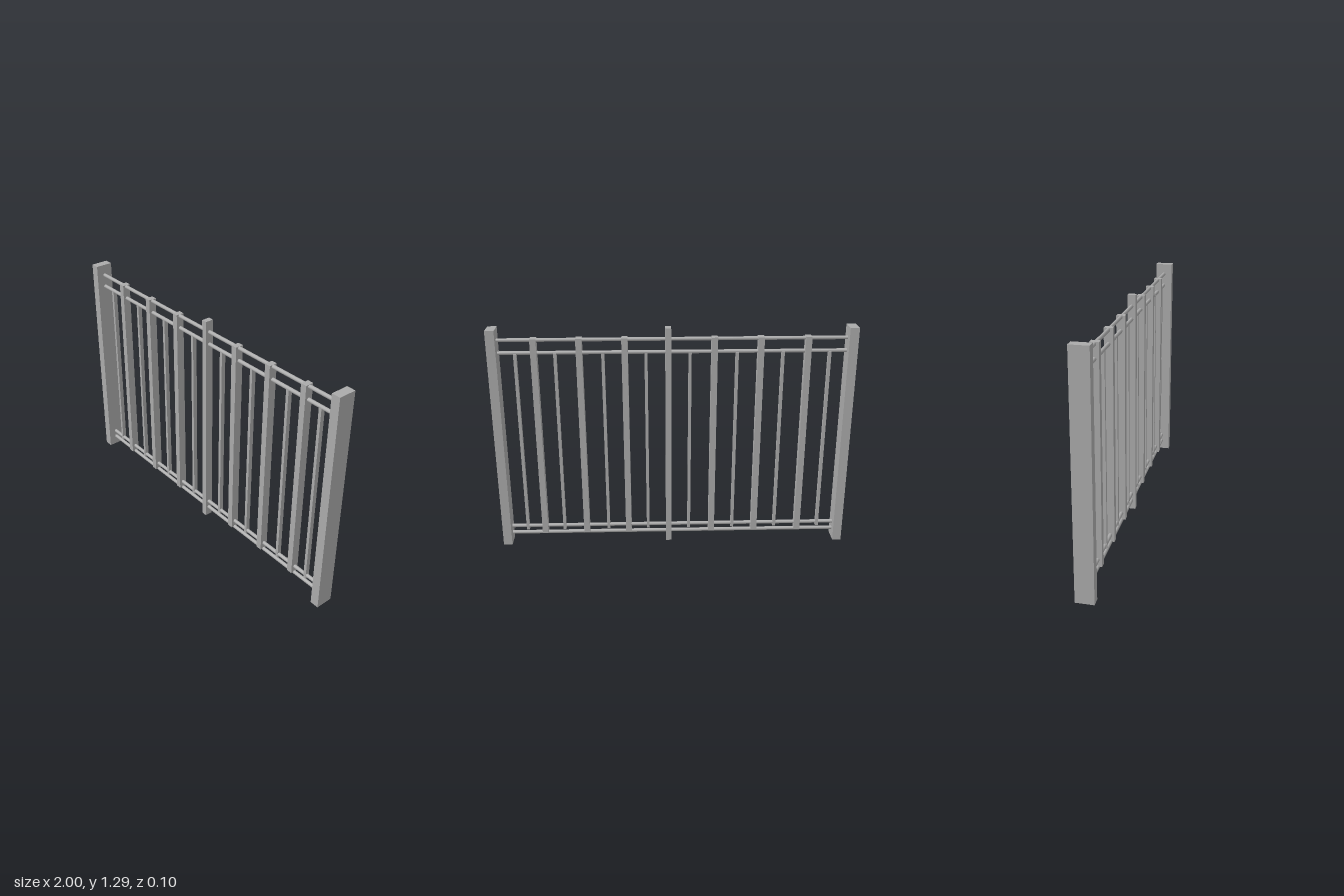
import * as THREE from 'three';

export function createModel() {
  const group = new THREE.Group();
  const metal = new THREE.MeshStandardMaterial({ color: 0xaaaaaa });
  metal.name = 'greyMetal';

  // upright bar with a rectangular section, from y0 to y1
  function upright(name, x, width, depth, y0, y1, z = 0) {
    const mesh = new THREE.Mesh(new THREE.BoxGeometry(width, y1 - y0, depth), metal);
    mesh.position.set(x, (y0 + y1) / 2, z);
    mesh.name = name;
    group.add(mesh);
  }

  // end posts and the slimmer middle post
  for (const side of [-1, 1]) upright('endPost', side * 0.975, 0.05, 0.1, 0, 1.295);
  upright('middlePost', 0.026, 0.032, 0.046, 0, 1.295);

  // wide bars spanning all the rails
  for (const x of [-0.737, -0.479, -0.226, 0.262, 0.509, 0.754]) {
    upright('wideBar', x, 0.034, 0.046, 0.06, 1.241);
  }

  // thin bars between the inner rails
  for (const x of [-0.857, -0.601, -0.35, -0.093, 0.147, 0.381, 0.64, 0.856]) {
    upright('thinBar', x, 0.017, 0.024, 0.08, 1.156, -0.002);
  }

  // round horizontal rails, paired at the top and the bottom
  const railShape = new THREE.CylinderGeometry(0.0105, 0.0105, 1.92, 12);
  railShape.rotateZ(Math.PI / 2);
  for (const y of [0.057, 0.1, 1.159, 1.231]) {
    const rail = new THREE.Mesh(railShape, metal);
    rail.position.y = y;
    rail.name = 'rail';
    group.add(rail);
  }
  return group;
}
